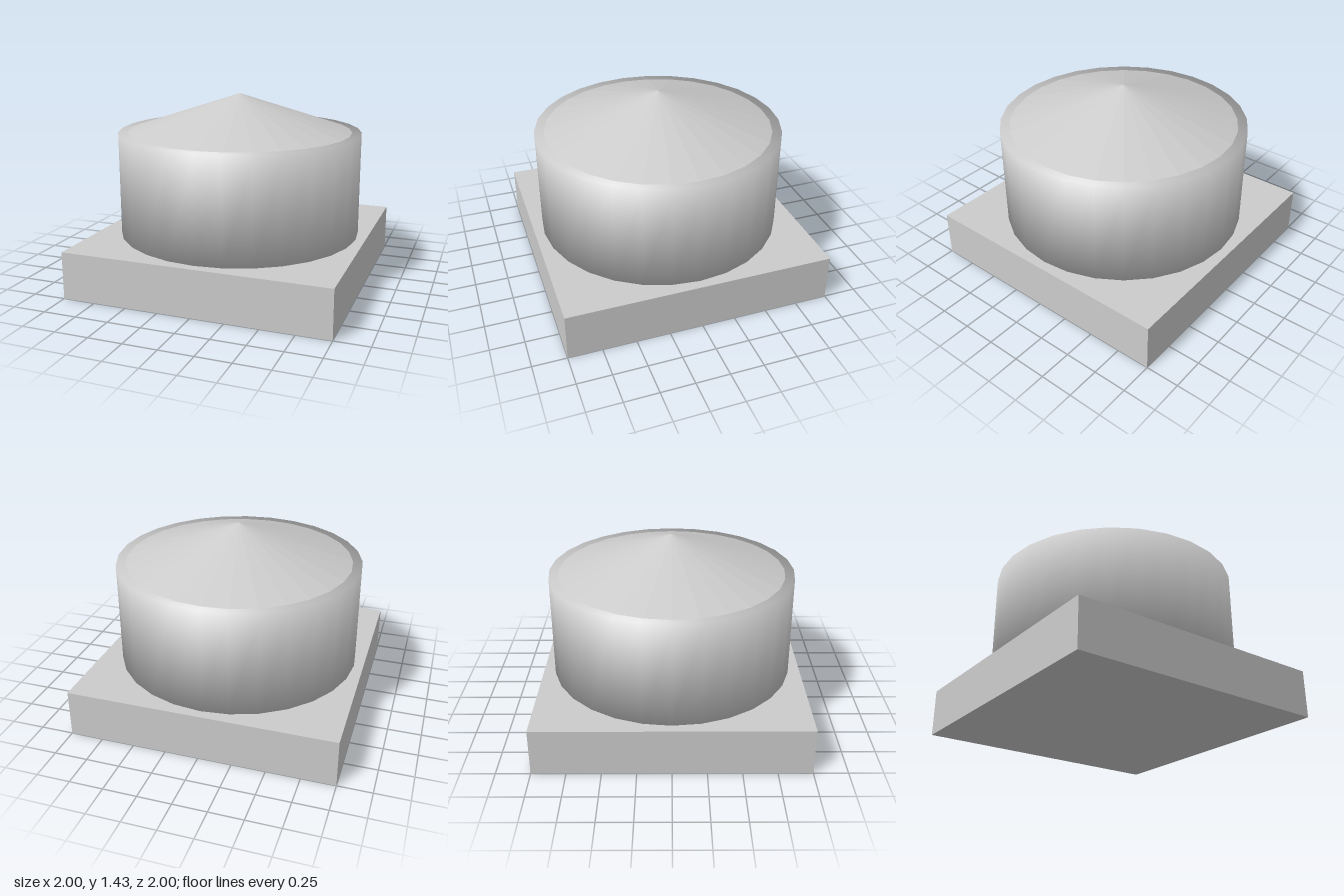
import * as THREE from 'three';
import { mergeVertices } from 'three/addons/utils/BufferGeometryUtils.js';

const U = 1 / 14; // the model is laid out on a grid of 28 units across
const SIDES = 28;

// Weld the seams so the shading runs softly over the rims
function softened(geometry) {
  geometry.deleteAttribute('uv');
  geometry.deleteAttribute('normal');
  const welded = mergeVertices(geometry);
  welded.computeVertexNormals();
  return welded;
}

export function createModel() {
  const group = new THREE.Group();
  const smooth = new THREE.MeshStandardMaterial({ color: 0xcccccc });
  const faceted = new THREE.MeshStandardMaterial({ color: 0xcccccc, flatShading: true });

  function add(name, geometry, material, y) {
    const mesh = new THREE.Mesh(geometry, material);
    mesh.name = name;
    mesh.position.y = y * U;
    group.add(mesh);
  }

  // Square plinth
  add('base', new THREE.BoxGeometry(28 * U, 5 * U, 28 * U), smooth, 2.5);

  // Round drum with a narrow rim left showing around the roof
  add('drum', softened(new THREE.CylinderGeometry(13 * U, 13 * U, 11 * U, SIDES)), smooth, 10.5);

  // Shallow conical roof
  add('roof', new THREE.ConeGeometry(12 * U, 4 * U, SIDES, 1, true), faceted, 18);

  return group;
}
